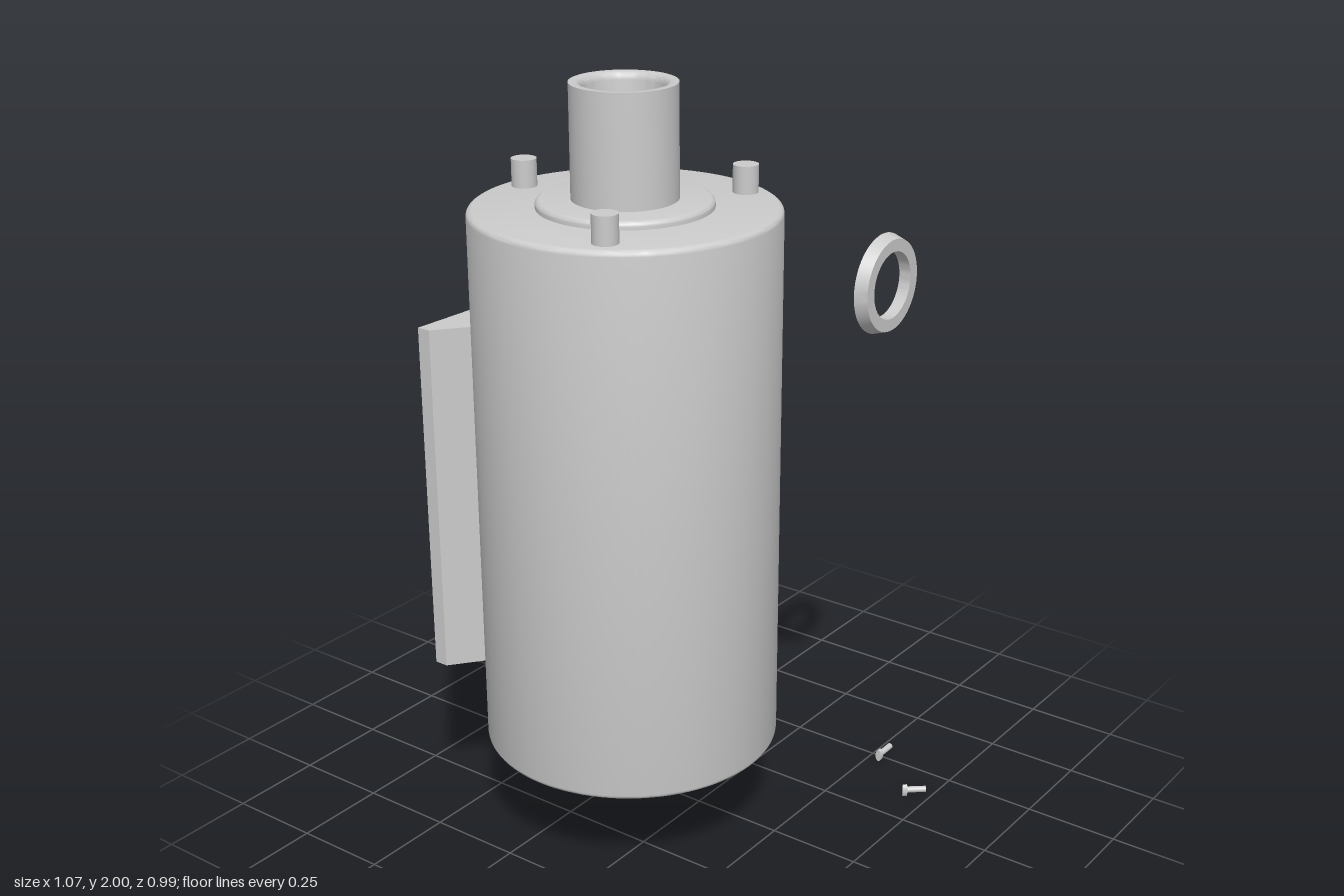
import * as THREE from 'three';
import { toCreasedNormals } from 'three/addons/utils/BufferGeometryUtils.js';

const material = new THREE.MeshStandardMaterial({ color: 0xcccccc });
const CX = -0.157, CZ = -0.105, R = 0.382; // tank axis and radius

function addMesh(parent, name, geometry, x = 0, y = 0, z = 0) {
  const mesh = new THREE.Mesh(geometry, material);
  mesh.name = name;
  mesh.position.set(x, y, z);
  parent.add(mesh);
  return mesh;
}

// Turned part from [radius, height] pairs, listed upwards on the outside
function turned(profile, segments = 72) {
  const points = profile.map(([r, y]) => new THREE.Vector2(r, y));
  return toCreasedNormals(new THREE.LatheGeometry(points, segments), 0.6);
}

// Profile of a solid disc or drum with rounded rims
function drum(r, y0, y1, bottomRound, topRound) {
  const profile = [[0, y0]];
  const arc = (cy, f, start) => {
    for (let i = 0; i <= 4; i++) {
      const a = start + (i / 4) * Math.PI / 2;
      profile.push([r - f + f * Math.cos(a), cy + f * Math.sin(a)]);
    }
  };
  if (bottomRound) arc(y0 + bottomRound, bottomRound, -Math.PI / 2);
  else profile.push([r, y0]);
  if (topRound) arc(y1 - topRound, topRound, 0);
  else profile.push([r, y1]);
  profile.push([0, y1]);
  return profile;
}

// Mounting bracket: wedge wings that hug the back of the tank
function bracketGeometry() {
  const shape = new THREE.Shape();
  // Outline around the tank axis; second coordinate points to the back
  shape.moveTo(0, 0.381);
  shape.lineTo(0.322, 0.396);
  shape.lineTo(0.322, 0.36);
  shape.lineTo(0.241, 0.296);
  const half = Math.atan2(0.241, 0.296);
  for (let i = 1; i < 16; i++) {
    const a = half * (1 - i / 8);
    shape.lineTo(Math.sin(a) * 0.378, Math.cos(a) * 0.378);
  }
  shape.lineTo(-0.241, 0.296);
  shape.lineTo(-0.322, 0.36);
  shape.lineTo(-0.322, 0.396);
  shape.closePath();
  const geometry = new THREE.ExtrudeGeometry(shape, { depth: 0.92, bevelEnabled: false });
  return geometry.rotateX(-Math.PI / 2);
}

// Small screw lying on its side, head first, shaft along local +x
function addScrew(parent, name, x, z, yaw) {
  const screw = new THREE.Group();
  screw.name = name;
  screw.position.set(x, 0.02, z);
  screw.rotation.y = yaw;
  const shaft = new THREE.CylinderGeometry(0.0085, 0.0085, 0.064, 20).rotateZ(Math.PI / 2);
  addMesh(screw, 'screwShaft', shaft, 0.032);
  const head = new THREE.CylinderGeometry(0.02, 0.02, 0.012, 20).rotateZ(Math.PI / 2);
  head.scale(1, 0.9, 0.45);
  addMesh(screw, 'screwHead', head, 0.006, -0.002);
  parent.add(screw);
}

export function createModel() {
  const model = new THREE.Group();
  model.name = 'tankAssembly';

  const tank = new THREE.Group();
  tank.name = 'tank';
  tank.position.set(CX, 0, CZ);
  model.add(tank);

  addMesh(tank, 'tankBody', turned(drum(R, 0.28, 1.7, 0.012, 0.015), 96));
  addMesh(tank, 'bottomPlate', turned(drum(0.32, 0.258, 0.285, 0.008, 0)));
  addMesh(tank, 'topFlange', turned(drum(0.217, 1.695, 1.72, 0, 0.012)));

  // Hollow neck with an eased inner rim
  addMesh(tank, 'neckPipe', turned([
    [0.131, 1.715], [0.131, 2], [0.113, 2], [0.107, 1.997],
    [0.103, 1.991], [0.101, 1.982], [0.101, 1.74], [0, 1.74],
  ]));

  // Three posts evenly spaced on the lid
  for (let i = 0; i < 3; i++) {
    const a = -Math.PI / 2 + (i * 2 * Math.PI) / 3;
    addMesh(tank, 'lidPost', new THREE.CylinderGeometry(0.032, 0.032, 0.08, 32),
      Math.cos(a) * 0.318, 1.73, Math.sin(a) * 0.318);
  }

  addMesh(tank, 'backBracket', bracketGeometry(), 0, 0.48, 0);

  // Drain boss under the tank, recessed, with a tilted plug
  addMesh(model, 'drainBoss', turned([
    [0, 0.25], [0.046, 0.25], [0.046, 0.231], [0.052, 0.225], [0.076, 0.225],
    [0.082, 0.227], [0.086, 0.231], [0.087, 0.236], [0.087, 0.262],
  ], 48), -0.278, 0, -0.235);
  const plug = addMesh(model, 'drainPlug',
    new THREE.CylinderGeometry(0.032, 0.032, 0.035, 32), -0.277, 0.233, -0.233);
  plug.rotation.z = -0.455;

  // Loose tapered ring in front of the tank
  const ring = turned([
    [0.082, 0.46], [0.122, 0.46], [0.112, 0.491], [0.082, 0.491], [0.082, 0.46],
  ]).rotateX(Math.PI / 2);
  addMesh(model, 'looseRing', ring, 0.102, 1.545, 0);

  addScrew(model, 'angledScrew', 0.353, 0.436, -0.87);
  addScrew(model, 'straightScrew', 0.471, 0.285, 0);

  return model;
}
